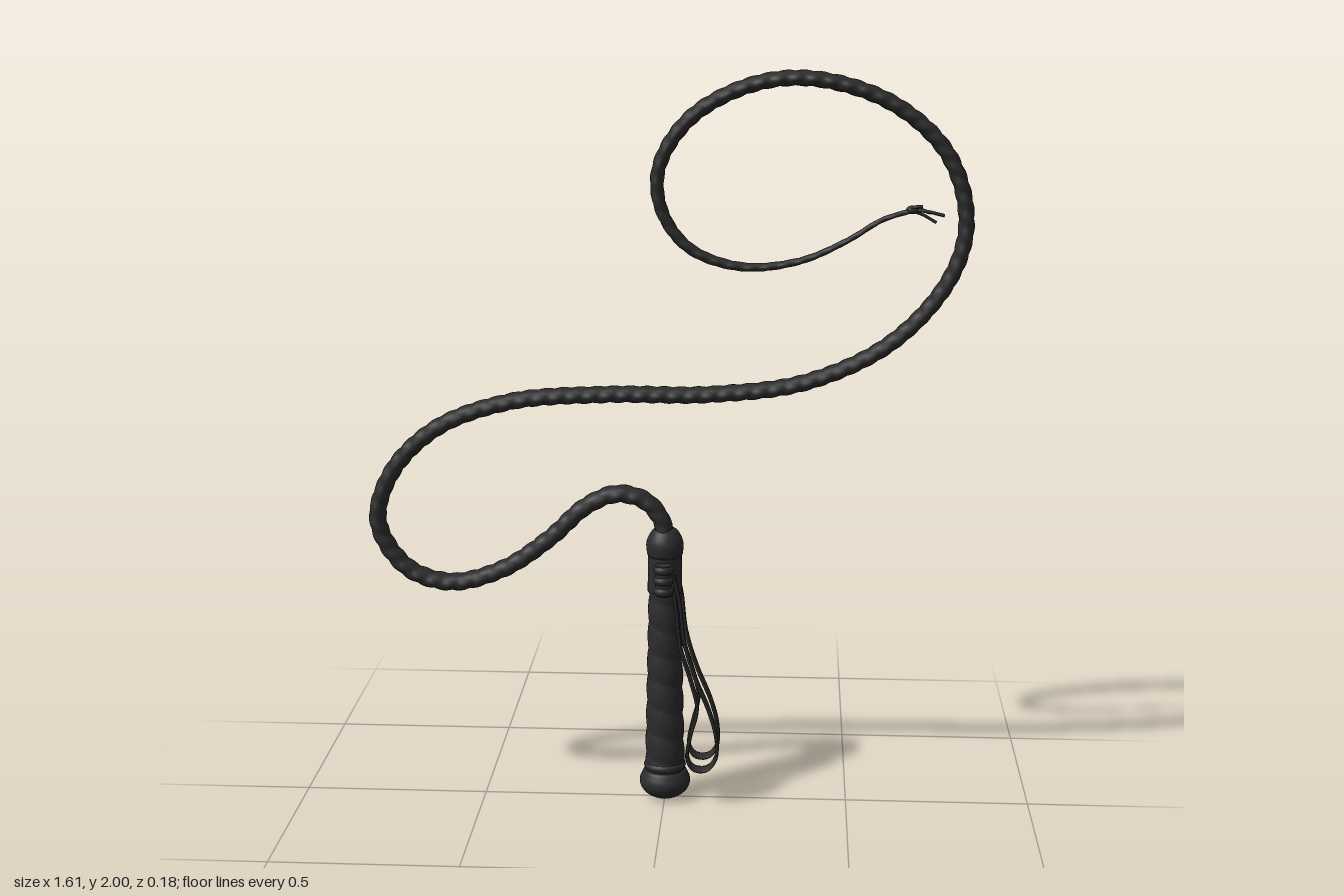
import * as THREE from 'three';

const leather = new THREE.MeshStandardMaterial({ color: 0x2c2c2c });
leather.name = 'blackLeather';

const V = (x, y, z = 0) => new THREE.Vector3(x, y, z);
const mesh = (name, geometry) => {
  const m = new THREE.Mesh(geometry, leather);
  m.name = name;
  return m;
};

// Sweeps an oval section along a path in the xy plane; size(u, angle) gives [in-plane, sideways] radii.
function sweep(points, segments, sides, size) {
  const curve = new THREE.CatmullRomCurve3(points.map(([x, y]) => V(x, y)), false, 'centripetal');
  curve.arcLengthDivisions = 1000;
  const pos = [], index = [];
  for (let i = 0; i <= segments; i++) {
    const u = i / segments, p = curve.getPointAt(u), t = curve.getTangentAt(u);
    for (let j = 0; j < sides; j++) {
      const a = (j / sides) * Math.PI * 2;
      const [rn, rz] = size(u, a);
      const c = Math.cos(a) * rn;
      pos.push(p.x - t.y * c, p.y + t.x * c, Math.sin(a) * rz);
      if (i < segments) {
        const k = (j + 1) % sides, A = i * sides + j, B = i * sides + k;
        index.push(A, B, B + sides, A, B + sides, A + sides);
      }
    }
  }
  const g = new THREE.BufferGeometry();
  g.setAttribute('position', new THREE.Float32BufferAttribute(pos, 3));
  g.setIndex(index);
  g.computeVertexNormals();
  return g;
}

const lathe = (profile) =>
  new THREE.LatheGeometry(new THREE.SplineCurve(profile.map(([r, y]) => new THREE.Vector2(r, y))).getPoints(24), 28);

export function createModel() {
  const whip = new THREE.Group();
  whip.name = 'whip';

  // Braided lash: herringbone relief, slimmer towards the tip
  const lashPath = [
    [0, 0.72], [0, 0.765], [-0.015, 0.81], [-0.055, 0.853], [-0.13, 0.87], [-0.215, 0.833], [-0.31, 0.745],
    [-0.44, 0.655], [-0.585, 0.615], [-0.705, 0.655], [-0.78, 0.78], [-0.74, 0.92], [-0.615, 1.045],
    [-0.415, 1.12], [-0.16, 1.143], [0.125, 1.147], [0.38, 1.185], [0.6, 1.295], [0.745, 1.465],
    [0.782, 1.615], [0.73, 1.785], [0.585, 1.915], [0.38, 1.977], [0.22, 1.96], [0.065, 1.875],
    [-0.015, 1.75], [-0.01, 1.64], [0.06, 1.54], [0.195, 1.49], [0.35, 1.505], [0.475, 1.56],
    [0.565, 1.615], [0.64, 1.64],
  ];
  const lerp = THREE.MathUtils.lerp, smooth = THREE.MathUtils.smoothstep;
  whip.add(mesh('lash', sweep(lashPath, 900, 14, (u, a) => {
    const fold = Math.abs(a > Math.PI ? a - 2 * Math.PI : a);
    const relief = 1 - 0.14 * (1 - Math.abs(Math.sin(u * 110 * Math.PI + fold)));
    const taper = smooth(u, 0.78, 1);
    return [lerp(lerp(0.025, 0.02, u), 0.007, taper) * relief, lerp(0.035, 0.01, taper) * relief];
  })));

  // Knot and frayed strands at the tip
  const knot = mesh('tipKnot', new THREE.SphereGeometry(0.014, 12, 8));
  knot.position.set(0.642, 1.642, 0);
  knot.scale.set(1.2, 0.8, 1);
  whip.add(knot);
  [[0.725, 1.628, 0.006], [0.705, 1.608, -0.01], [0.668, 1.652, 0.014], [0.69, 1.632, -0.018]].forEach(([x, y, z]) => {
    const curve = new THREE.CatmullRomCurve3([V(0.63, 1.642), V((0.63 + x) / 2, (1.65 + y) / 2, z), V(x, y, z)]);
    whip.add(mesh('tipStrand', new THREE.TubeGeometry(curve, 10, 0.0045, 6)));
  });

  // Handle wrapped by one spiral strip
  whip.add(mesh('handle', sweep([[0, 0.06], [0, 0.4], [0, 0.74]], 120, 28, (u, a) => {
    const r = lerp(0.056, 0.042, u) * (1 - 0.09 * (1 - Math.abs(Math.sin(u * 9 * Math.PI + a / 2)) ** 0.6));
    return [r, r];
  })));

  // Pommel, its neck ring and the top knob
  whip.add(mesh('pommel', lathe([
    [0, 0.004], [0.035, 0.01], [0.06, 0.028], [0.07, 0.052], [0.064, 0.074], [0.05, 0.09], [0, 0.098],
  ])));
  const ring = mesh('pommelRing', new THREE.TorusGeometry(0.045, 0.013, 10, 28));
  ring.rotation.x = Math.PI / 2;
  ring.position.y = 0.1;
  whip.add(ring);
  whip.add(mesh('topKnob', lathe([
    [0, 0.69], [0.042, 0.697], [0.05, 0.72], [0.049, 0.742], [0.038, 0.765], [0.027, 0.775], [0, 0.778],
  ])));

  // Collar that holds the wrist straps
  const collar = mesh('collar', new THREE.CylinderGeometry(0.046, 0.047, 0.1, 28));
  collar.position.y = 0.65;
  whip.add(collar);

  // Wrist straps with their bound ends, one on each side
  const strapPath = [
    [0.025, 0.66], [0.043, 0.58], [0.056, 0.47], [0.085, 0.37], [0.125, 0.27], [0.143, 0.2], [0.143, 0.14],
    [0.118, 0.107], [0.082, 0.108], [0.064, 0.138], [0.075, 0.21], [0.091, 0.28], [0.072, 0.365],
    [0.046, 0.45], [0.034, 0.56], [0.02, 0.66],
  ];
  for (const side of [1, -1]) {
    const strap = mesh('wristStrap', sweep(strapPath, 110, 12, (u, a) => {
      const width = lerp(0.013, 0.023, smooth(Math.sin(u * Math.PI), 0, 0.9));
      const square = 1 / Math.max(Math.abs(Math.cos(a)), Math.abs(Math.sin(a)));
      return [0.0045 * square, width * Math.min(square, 1.15) / 1.08];
    }));
    strap.position.z = side * 0.05;
    whip.add(strap);

    const binding = new THREE.Group();
    binding.name = 'strapBinding';
    const core = mesh('bindingCore', new THREE.CylinderGeometry(0.022, 0.022, 0.085, 14));
    binding.add(core);
    for (let i = -1; i <= 1; i++) {
      const coil = mesh('bindingCoil', new THREE.TorusGeometry(0.015, 0.013, 10, 18));
      coil.rotation.x = Math.PI / 2;
      coil.position.y = i * 0.03;
      binding.add(coil);
    }
    binding.position.set(0, 0.648, side * 0.062);
    whip.add(binding);
  }
  return whip;
}
